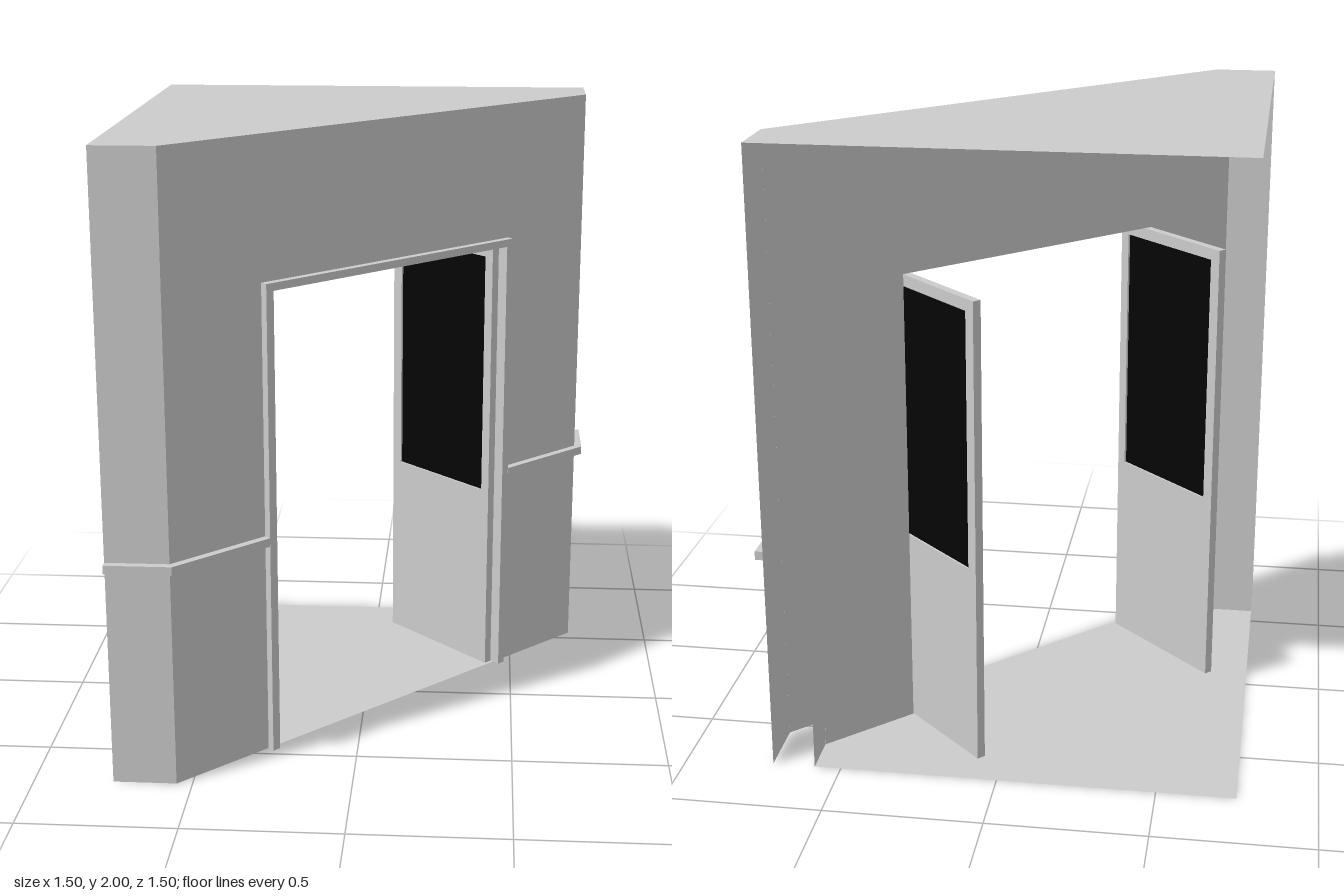
import * as THREE from 'three';

const grey = new THREE.MeshStandardMaterial({ color: 0xcccccc, side: THREE.DoubleSide });
const black = new THREE.MeshStandardMaterial({ color: 0x050505 });

const H = 2;            // overall height
const WALL = 0.137;     // distance between outer and inner skin
const OPEN = 0.503;     // half width of the doorway
const OPEN_TOP = 1.525;
const TRIM = 0.025;     // how far rail and casing stand out

function add(parent, name, geometry, material = grey) {
  const mesh = new THREE.Mesh(geometry, material);
  mesh.name = name;
  parent.add(mesh);
  return mesh;
}

const shapeOf = (pts) => new THREE.Shape(pts.map(([x, y]) => new THREE.Vector2(x, y)));
const planShape = (pts) => shapeOf(pts.map(([x, z]) => [x, -z]));

// Flat sheet from a plan outline of [x, z] points
const sheet = (pts) => new THREE.ShapeGeometry(planShape(pts)).rotateX(-Math.PI / 2);

// Plan outline extruded upwards from y
const slab = (pts, y, height) =>
  new THREE.ExtrudeGeometry(planShape(pts), { depth: height, bevelEnabled: false })
    .rotateX(-Math.PI / 2).translate(0, y, 0);

// Upside-down U: a panel with a doorway cut from its lower edge
const arch = (half, top, openHalf, openTop) => shapeOf([
  [-half, 0], [-half, top], [half, top], [half, 0],
  [openHalf, 0], [openHalf, openTop], [-openHalf, openTop], [-openHalf, 0],
]);

// Door leaf with a recessed dark pane; lies along -z from its hinge
function makeDoor(name) {
  const door = new THREE.Group();
  door.name = name;
  const thick = 0.028, length = 0.495, top = OPEN_TOP - 0.002;
  const leaf = shapeOf([[0, 0], [length, 0], [length, top], [0, top]]);
  leaf.holes.push(new THREE.Path([[0.035, 0.65], [0.035, 1.485], [0.455, 1.485], [0.455, 0.65]]
    .map(([x, y]) => new THREE.Vector2(x, y))));
  const geo = new THREE.ExtrudeGeometry(leaf, { depth: thick, bevelEnabled: false });
  add(door, 'doorLeaf', geo.translate(0, 0, -thick / 2).rotateY(Math.PI / 2));
  add(door, 'doorGlass', new THREE.BoxGeometry(0.014, 0.835, 0.42), black)
    .position.set(0, 1.0675, -0.245);
  return door;
}

export function createModel() {
  const model = new THREE.Group();
  model.name = 'cornerEntrance';

  // Roof covers the whole plan, floor only the inner room
  add(model, 'roof', sheet([[-0.75, -0.75], [0.72, -0.75], [0.72, -0.55], [-0.55, 0.72], [-0.75, 0.72]]))
    .position.y = H;
  add(model, 'floor', sheet([[-0.75, -0.75], [0.585, -0.75], [0.585, -0.607], [-0.607, 0.585], [-0.75, 0.585]]));

  // Short return walls and dado rails, mirrored across the diagonal
  for (const swap of [false, true]) {
    const side = swap ? 'Right' : 'Left';
    const m = ([x, z]) => (swap ? [z, x] : [x, z]);
    for (const [name, x, z] of [['outerReturn', 0.72, -0.55], ['innerReturn', 0.585, -0.607]]) {
      const length = z + 0.75;
      const geo = new THREE.PlaneGeometry(length, H);
      if (!swap) geo.rotateY(Math.PI / 2);
      const [px, pz] = m([x, z - length / 2]);
      add(model, name + side, geo).position.set(px, H / 2, pz);
    }
    // Mitred rail running from the back edge round to the casing
    const n = TRIM * Math.SQRT1_2;
    const rail = [[0.72, -0.75], [0.72 + TRIM, -0.75], [0.72 + TRIM, -0.54],
      [0.46 + n, -0.29 + n], [0.46, -0.29], [0.72, -0.55]];
    add(model, 'rail' + side, slab(rail.map(m), 0.707, 0.028));
  }

  // Diagonal front: x runs along the wall, z points outwards
  const front = new THREE.Group();
  front.name = 'diagonalFront';
  front.position.set(0.085, 0, 0.085);
  front.rotation.y = Math.PI / 4;
  model.add(front);

  add(front, 'outerWall', new THREE.ShapeGeometry(arch(0.898, H, OPEN, OPEN_TOP)));
  add(front, 'innerWall', new THREE.ShapeGeometry(arch(0.843, H, OPEN, OPEN_TOP)))
    .position.z = -WALL;
  add(front, 'casing', new THREE.ExtrudeGeometry(arch(0.53, 1.55, OPEN, OPEN_TOP),
    { depth: TRIM, bevelEnabled: false }));

  // Lining of the doorway between the two skins
  for (const [name, y] of [['threshold', 0], ['headLining', OPEN_TOP]]) {
    add(front, name, new THREE.PlaneGeometry(2 * OPEN, WALL).rotateX(-Math.PI / 2))
      .position.set(0, y, -WALL / 2);
  }
  for (const s of [1, -1]) {
    const side = s > 0 ? 'Left' : 'Right';
    add(front, 'jamb' + side, new THREE.PlaneGeometry(WALL, H * OPEN_TOP / 2).rotateY(-s * Math.PI / 2))
      .position.set(s * OPEN, OPEN_TOP / 2, -WALL / 2);
    // Doors swung open into the room
    const door = makeDoor('door' + side);
    door.position.set(s * (OPEN - 0.0165), 0, -0.012);
    front.add(door);
  }

  return model;
}
